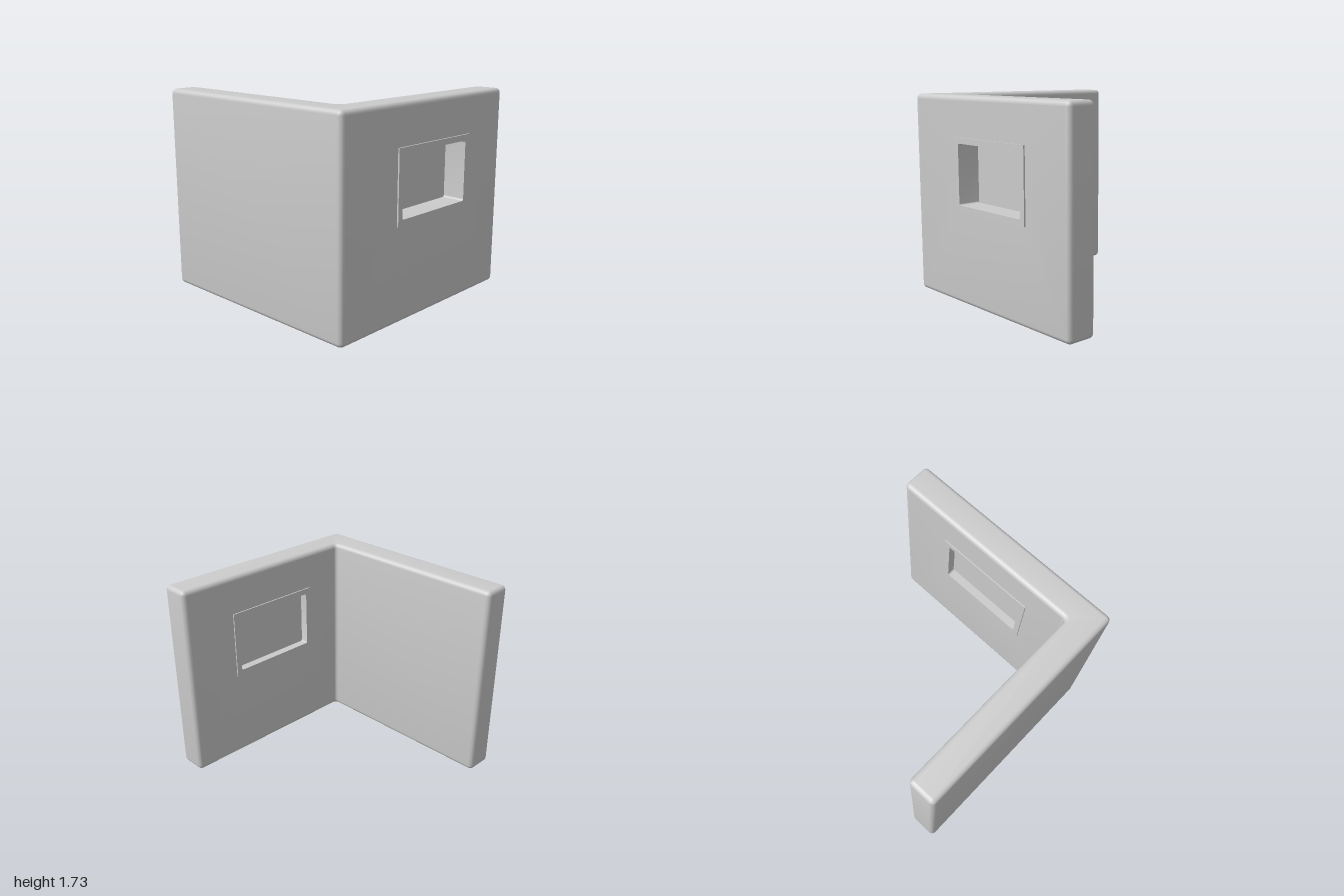
import * as THREE from 'three';
import { toCreasedNormals, mergeGeometries } from 'three/addons/utils/BufferGeometryUtils.js';

const H = 1.73, BEVEL = 0.04, CORNER = 0.042, INNER = 0.03;
const X0 = -0.993, X1 = 0.993, XI = -0.74;      // outer left, outer right, inner face of side wing
const ZB = -1, ZF = 0.987, ZI = 0.733;          // back end, front face, inner face of front wing

// Rectangle with optional corner radius, usable as shape or hole
function rect(x0, y0, x1, y1, r = 0, Type = THREE.Shape) {
  const s = new Type();
  if (!r) {
    s.moveTo(x0, y0).lineTo(x1, y0).lineTo(x1, y1).lineTo(x0, y1).closePath();
    return s;
  }
  s.absarc(x1 - r, y0 + r, r, -Math.PI / 2, 0);
  s.absarc(x1 - r, y1 - r, r, 0, Math.PI / 2);
  s.absarc(x0 + r, y1 - r, r, Math.PI / 2, Math.PI);
  s.absarc(x0 + r, y0 + r, r, Math.PI, Math.PI * 1.5);
  s.closePath();
  return s;
}

// L-shaped plan with rounded corners, drawn with y = -z
function planShape() {
  const s = new THREE.Shape(), q = Math.PI / 2, c = CORNER;
  s.absarc(X0 + c, -ZF + c, c, 2 * q, 3 * q);
  s.absarc(X1 - c, -ZF + c, c, -q, 0);
  s.absarc(X1 - c, -ZI - c, c, 0, q);
  s.absarc(XI + INNER, -ZI + INNER, INNER, 3 * q, 2 * q, true);
  s.absarc(XI - c, -ZB - c, c, 0, q);
  s.absarc(X0 + c, -ZB - c, c, q, 2 * q);
  s.closePath();
  return s;
}

// Rounded L wall whose two flat window faces are replaced by pierced panels
function wallGeometry() {
  const body = new THREE.ExtrudeGeometry(planShape(), {
    depth: H - 2 * BEVEL, bevelEnabled: true, bevelThickness: BEVEL,
    bevelSize: BEVEL, bevelOffset: -BEVEL, bevelSegments: 5, curveSegments: 6,
  });
  body.rotateX(-Math.PI / 2).translate(0, BEVEL, 0);
  const src = body.toNonIndexed().getAttribute('position');
  const kept = [];
  for (let i = 0; i < src.count; i += 3) {
    const onFace = (z) => [0, 1, 2].every((k) => Math.abs(src.getZ(i + k) - z) < 1e-4);
    if (onFace(ZF) || onFace(ZI)) continue;
    for (let k = 0; k < 3; k++) kept.push(src.getX(i + k), src.getY(i + k), src.getZ(i + k));
  }
  const shell = new THREE.BufferGeometry();
  shell.setAttribute('position', new THREE.Float32BufferAttribute(kept, 3));

  const panel = (x0, x1, z, flip) => {
    // the back panel is drawn mirrored in x, then turned round
    const m = flip ? -1 : 1;
    const [a, b] = [m * x0, m * x1].sort((p, q) => p - q);
    const [h0, h1] = [m * -0.36, m * 0.485].sort((p, q) => p - q);
    const s = rect(a, BEVEL, b, H - BEVEL);
    s.holes.push(rect(h0, 0.815, h1, 1.37, 0, THREE.Path));
    let g = new THREE.ShapeGeometry(s);
    if (flip) g.rotateY(Math.PI);
    g = g.translate(0, 0, z).toNonIndexed();
    g.deleteAttribute('uv');
    g.deleteAttribute('normal');
    return g;
  };
  const all = mergeGeometries([
    shell,
    panel(X0 + CORNER, X1 - CORNER, ZF, false),
    panel(XI + INNER, X1 - CORNER, ZI, true),
  ]);
  return toCreasedNormals(all, 0.7);
}

export function createModel() {
  const group = new THREE.Group();
  group.name = 'cornerWall';
  const material = new THREE.MeshStandardMaterial({ color: 0xcccccc });
  const add = (name, geometry) => {
    const mesh = new THREE.Mesh(geometry, material);
    mesh.name = name;
    group.add(mesh);
    return mesh;
  };

  add('wall', wallGeometry());

  // Window frame, standing slightly proud of both wall faces
  const frame = rect(-0.385, 0.79, 0.51, 1.395);
  frame.holes.push(rect(-0.335, 0.84, 0.46, 1.345, 0.018, THREE.Path));
  const frameGeo = new THREE.ExtrudeGeometry(frame, { depth: 0.278, bevelEnabled: false, curveSegments: 4 });
  add('windowFrame', toCreasedNormals(frameGeo.translate(0, 0, 0.722), 0.7));

  // Pane, set toward the inner side of the wall
  add('windowPane', new THREE.BoxGeometry(0.83, 0.54, 0.01)).position.set(0.0625, 1.0925, 0.8);

  return group;
}
